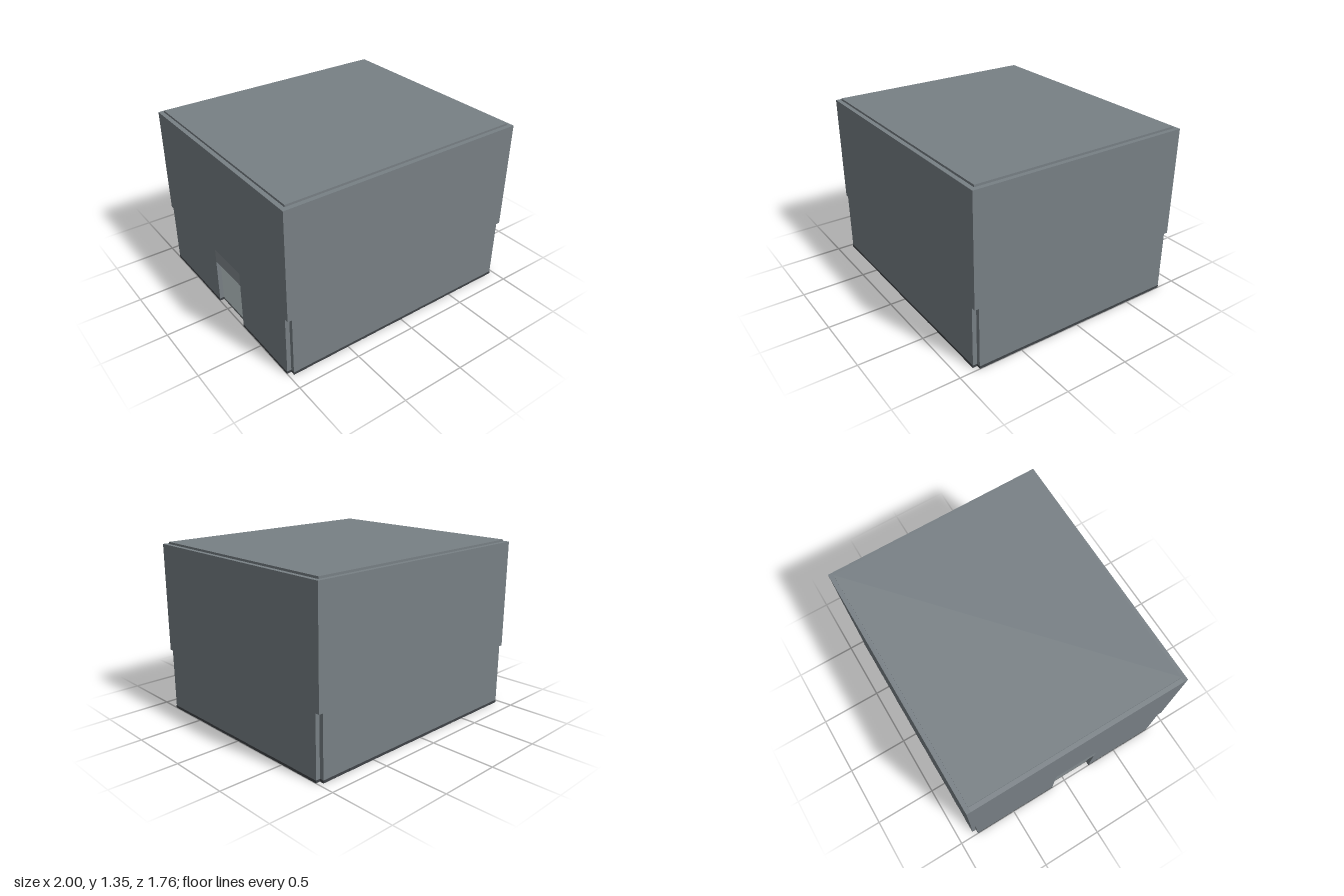
import * as THREE from 'three';

const X = 0.998, Z = 0.877;      // half width, half depth
const T = 0.033;                 // wall thickness
const BASE = 0.02, NOTCH = 0.485, WALL_TOP = 1.332, ROOF_TOP = 1.348;
const DOOR = { from: -0.12, to: 0.245, top: 0.38 };
const INX = X - T, INZ = Z - T;  // inner half width and depth

// Joints between the skirting pieces
const LONG_JOINTS = [-INX, -0.85, -0.73, -0.61, -0.37, -0.24, -0.12, 0.12, 0.24, 0.37, 0.61, 0.73, 0.85, INX];
const SIDE_JOINTS = [-INZ, -0.61, -0.37, -0.12, 0.12, 0.37, 0.61, INZ];
const DOOR_JOINTS = [-INZ, -0.61, -0.37, DOOR.from, DOOR.to, 0.37, 0.61, INZ];

const paint = (color) => new THREE.MeshStandardMaterial({ color });
const wallPaint = paint(0x788085);
const lintelPaint = paint(0x828a8f);
const floorPaint = paint(0x6e7577);
const skirtingPaint = paint(0x404448);

function addMesh(parent, name, geometry, material) {
  const mesh = new THREE.Mesh(geometry, material);
  mesh.name = name;
  parent.add(mesh);
  return mesh;
}

function slab(parent, name, material, w, h, d, x, y, z) {
  addMesh(parent, name, new THREE.BoxGeometry(w, h, d), material).position.set(x, y, z);
}

// Wall facing local +z; narrower below NOTCH so the lower corners are cut out
function createWall(name, lowHalf, highHalf, joints, door) {
  const wall = new THREE.Group();
  wall.name = name;
  const points = [
    [lowHalf, BASE], [lowHalf, NOTCH], [highHalf, NOTCH], [highHalf, WALL_TOP],
    [-highHalf, WALL_TOP], [-highHalf, NOTCH], [-lowHalf, NOTCH], [-lowHalf, BASE],
  ];
  if (door) {
    points.push([door.from, BASE], [door.from, NOTCH], [door.to, NOTCH], [door.to, BASE]);
    // Lintel filling the top of the doorway
    slab(wall, 'doorLintel', lintelPaint, door.to - door.from, NOTCH - door.top, T,
      (door.from + door.to) / 2, (NOTCH + door.top) / 2, T / 2);
  }
  const shape = new THREE.Shape(points.map(([x, y]) => new THREE.Vector2(x, y)));
  const panel = new THREE.ExtrudeGeometry(shape, { depth: T, bevelEnabled: false });
  addMesh(wall, 'wallPanel', panel, wallPaint);

  // Dark skirting in alternating pieces, left open at the doorway
  for (let i = 0; i < joints.length - 1; i++) {
    const from = joints[i], to = joints[i + 1];
    if (door && from === door.from) continue;
    const depth = T + (i % 2 ? 0.001 : 0.002);
    slab(wall, 'skirting', skirtingPaint, to - from, BASE, depth, (from + to) / 2, BASE / 2, depth / 2);
  }
  return wall;
}

export function createModel() {
  const model = new THREE.Group();
  model.name = 'building';

  // Front and back walls run full width, side walls fit between them
  for (const [name, angle] of [['frontWall', 0], ['backWall', Math.PI]]) {
    const wall = createWall(name, INX, X, LONG_JOINTS);
    wall.rotation.y = angle;
    wall.position.z = Math.cos(angle) * INZ;
    model.add(wall);
  }
  for (const [name, side, joints, door] of [
    ['leftWall', 1, SIDE_JOINTS], ['rightWall', -1, DOOR_JOINTS, DOOR],
  ]) {
    const wall = createWall(name, INZ, INZ, joints, door);
    wall.rotation.y = side * Math.PI / 2;
    wall.position.x = side * INX;
    model.add(wall);
  }

  // Floor and raised roof slab between the walls
  const roof = 0.05;
  slab(model, 'floor', floorPaint, 2 * INX, BASE, 2 * INZ, 0, BASE / 2, 0);
  slab(model, 'roof', wallPaint, 2 * INX, roof, 2 * INZ, 0, ROOF_TOP - roof / 2, 0);

  return model;
}
